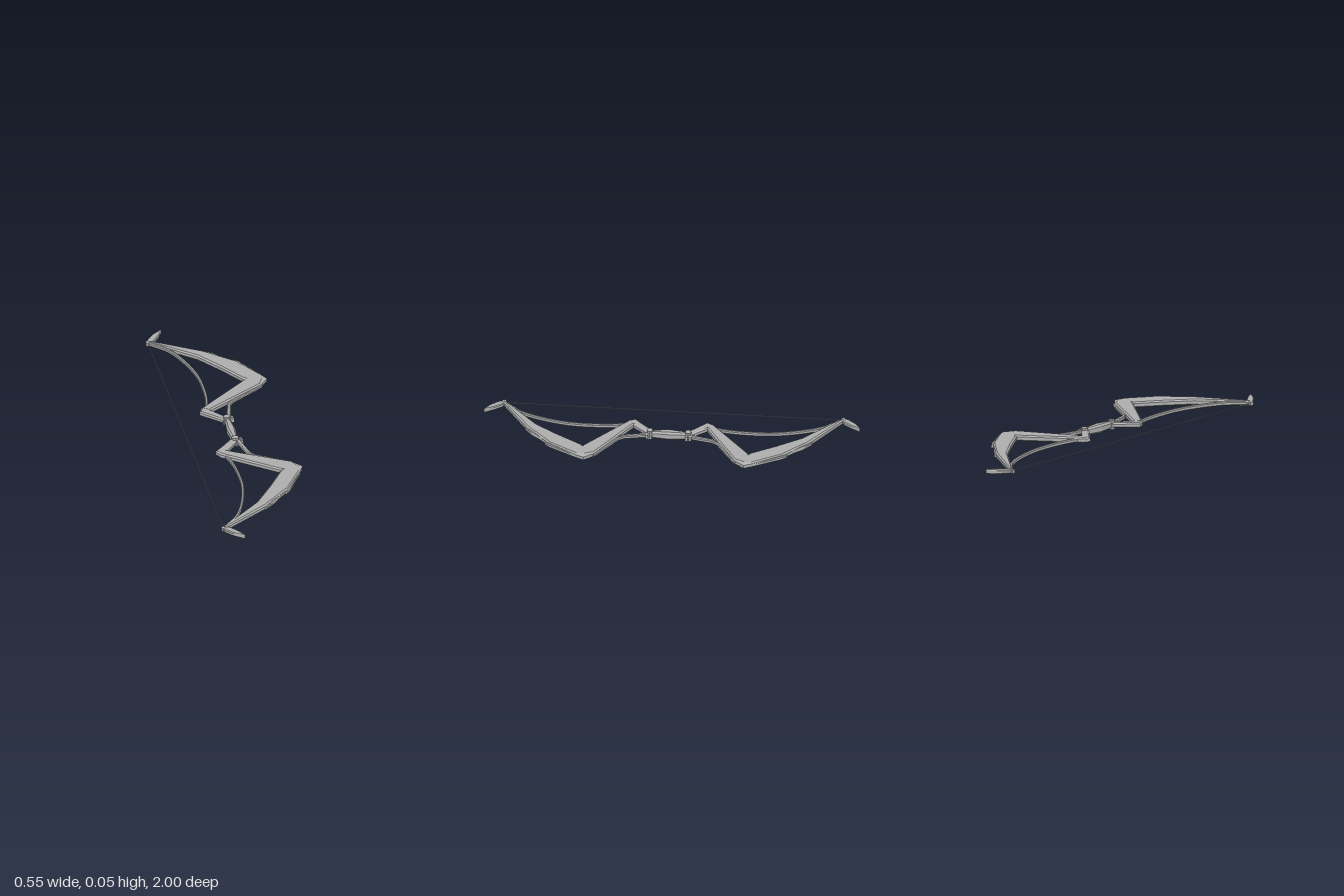
import * as THREE from 'three';

const MID = 0.025; // height of the bow's central plane

// Bevelled beam through sections [ax, az, bx, bz, halfHeight, bevel], each spanning edge a to edge b.
function beam(sections, side) {
  const rings = sections.map(([ax, az, bx, bz, h, bevel = 0.009]) => {
    const w = Math.hypot(bx - ax, bz - az);
    const k = Math.min(bevel / w, 0.35), f = h * 0.55;
    return [[0, -f], [k, -h], [1 - k, -h], [1, -f], [1, f], [1 - k, h], [k, h], [0, f]].map(([t, y]) =>
      [ax + (bx - ax) * t, MID + y, side * (az + (bz - az) * t)]);
  });
  // find the winding from the direction of travel
  const s = sections[0], e = sections[1];
  const dx = e[0] + e[2] - s[0] - s[2], dz = e[1] + e[3] - s[1] - s[3];
  const flip = (-(s[3] - s[1]) * dx + (s[2] - s[0]) * dz) * side < 0;
  const pos = [];
  const tri = (a, b, c) => pos.push(...a, ...(flip ? c : b), ...(flip ? b : c));
  const n = 8, last = rings[rings.length - 1];
  for (let i = 0; i < rings.length - 1; i++) {
    for (let j = 0; j < n; j++) {
      const k = (j + 1) % n, p = rings[i], q = rings[i + 1];
      tri(p[j], p[k], q[k]);
      tri(p[j], q[k], q[j]);
    }
  }
  for (let j = 1; j < n - 1; j++) {
    tri(rings[0][0], rings[0][j + 1], rings[0][j]);
    tri(last[0], last[j], last[j + 1]);
  }
  const g = new THREE.BufferGeometry();
  g.setAttribute('position', new THREE.Float32BufferAttribute(pos, 3));
  g.computeVertexNormals();
  return g;
}

export function createModel() {
  const bow = new THREE.Group();
  bow.name = 'bow';
  const metal = new THREE.MeshStandardMaterial({ color: 0xb0b0b0, flatShading: true });
  metal.name = 'grey metal';
  const add = (name, geometry, parent = bow) => {
    const m = new THREE.Mesh(geometry, metal);
    m.name = name;
    parent.add(m);
    return m;
  };

  // Grip, swelling towards the middle
  add('grip', beam([
    [-0.03, -0.1, -0.005, -0.1, 0.017], [-0.037, -0.07, -0.003, -0.07, 0.021],
    [-0.044, 0, 0.002, 0, 0.024], [-0.037, 0.07, -0.003, 0.07, 0.021],
    [-0.03, 0.1, -0.005, 0.1, 0.017],
  ], 1));

  // Bowstring
  const string = add('bowstring', new THREE.CylinderGeometry(0.0018, 0.0018, 1.8, 6));
  string.rotation.x = Math.PI / 2;
  string.position.set(-0.265, MID, 0);

  for (const side of [1, -1]) {
    const half = new THREE.Group();
    half.name = side > 0 ? 'frontHalf' : 'backHalf';
    bow.add(half);
    const part = (name, sections) => add(name, beam(sections, side), half);

    // Short arm from the grip to the elbow
    part('innerArm', [
      [-0.042, 0.09, -0.015, 0.118, 0.013],
      [-0.148, 0.19, -0.086, 0.197, 0.015],
      [-0.13, 0.225, -0.082, 0.2, 0.015],
    ]);
    // Arm out to the shoulder
    part('outerArm', [
      [-0.131, 0.224, -0.086, 0.196, 0.016],
      [0.15, 0.44, 0.226, 0.372, 0.016],
      [0.152, 0.442, 0.272, 0.425, 0.016, 0.026],
    ]);
    // Tapering limb from the shoulder to the tip
    part('limb', [
      [0.15, 0.437, 0.272, 0.425, 0.016, 0.026],
      [0.142, 0.453, 0.25, 0.468, 0.016],
      [0.055, 0.58, 0.153, 0.617, 0.016],
      [-0.04, 0.705, 0.0, 0.752, 0.016],
      [-0.262, 0.893, -0.252, 0.906, 0.015],
    ]);
    // Raised ridges on the outer edge of the limb
    part('limbRidge', [
      [0.22, 0.485, 0.25, 0.475, 0.009, 0.004],
      [0.125, 0.61, 0.162, 0.62, 0.011, 0.004],
      [0.12, 0.635, 0.14, 0.645, 0.008, 0.004],
    ]);
    part('limbRidge', [
      [0.08, 0.66, 0.11, 0.655, 0.008, 0.004],
      [0.015, 0.715, 0.052, 0.718, 0.011, 0.004],
      [-0.02, 0.75, 0.0, 0.764, 0.008, 0.004],
    ]);
    // Strut from the grip, running on as a rib along the arm
    part('strut', [
      [-0.022, 0.1, 0.002, 0.093, 0.01, 0.005],
      [0.012, 0.235, 0.034, 0.232, 0.01, 0.005],
      [0.045, 0.275, 0.054, 0.26, 0.01, 0.005],
      [0.2, 0.375, 0.218, 0.358, 0.009, 0.005],
      [0.222, 0.385, 0.236, 0.372, 0.009, 0.005],
    ]);

    // Curved inner brace between elbow and tip
    const curve = new THREE.CatmullRomCurve3([
      [-0.105, 0.21], [-0.083, 0.31], [-0.075, 0.42], [-0.08, 0.54],
      [-0.118, 0.69], [-0.175, 0.81], [-0.258, 0.895],
    ].map(([x, z]) => new THREE.Vector3(x, 0, z)));
    part('curvedBrace', curve.getPoints(24).map((p, i) => {
      const t = curve.getTangent(i / 24), w = 0.008;
      return [p.x - t.z * w, p.z + t.x * w, p.x + t.z * w, p.z - t.x * w, 0.011, 0.004];
    }));

    // Leaf-shaped blade at the tip
    part('tipBlade', [
      [-0.274, 0.898, -0.256, 0.89, 0.008, 0.003],
      [-0.262, 0.927, -0.228, 0.908, 0.011, 0.004],
      [-0.222, 0.97, -0.195, 0.949, 0.012, 0.004],
      [-0.171, 1.0, -0.169, 0.998, 0.012, 0.002],
    ]);
    const nock = add('nock', new THREE.BoxGeometry(0.024, 0.02, 0.02), half);
    nock.position.set(-0.265, MID, side * 0.9);

    // Clamp and bolts joining the grip, arm and strut
    for (const z of [0.095, 0.115]) {
      const band = add('clampBand', new THREE.BoxGeometry(0.044, 0.022, 0.013), half);
      band.position.set(-0.003, MID, side * z);
    }
    const collar = add('gripCollar', new THREE.CylinderGeometry(0.02, 0.02, 0.05, 8), half);
    collar.scale.set(1, 1, 0.8);
    collar.position.set(-0.02, MID, side * 0.102);
  }
  return bow;
}
